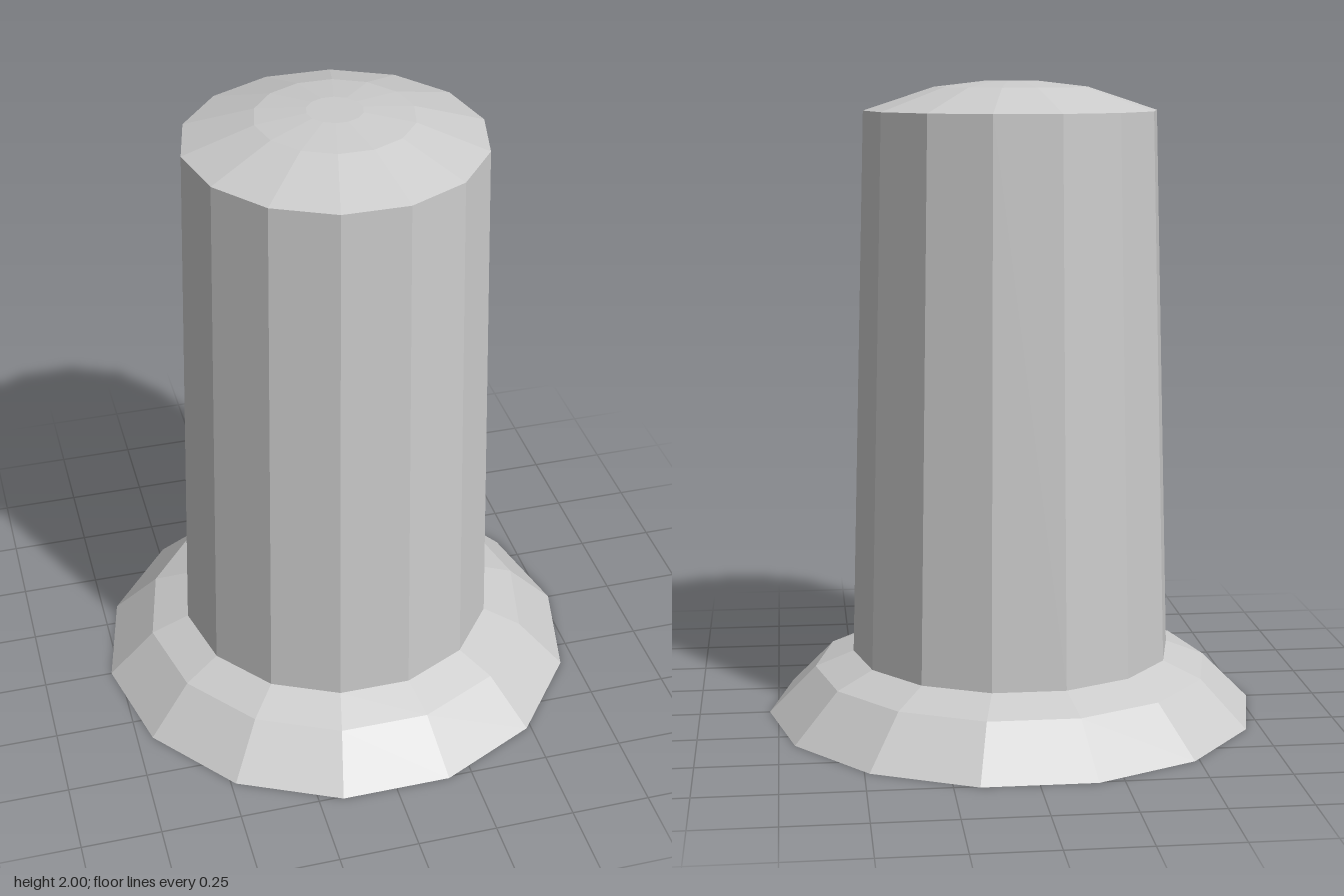
import * as THREE from 'three';

const SIDES = 14;

export function createModel() {
  const group = new THREE.Group();
  const material = new THREE.MeshStandardMaterial({ color: 0xcccccc, flatShading: true });

  // Faceted turned part from [radius, height] pairs, with a corner on the x axis
  const turned = (name, profile) => {
    const points = profile.map(([r, y]) => new THREE.Vector2(r, y));
    const mesh = new THREE.Mesh(new THREE.LatheGeometry(points, SIDES, Math.PI / 2), material);
    mesh.name = name;
    group.add(mesh);
  };

  // Flared foot with a closed underside
  turned('base', [[0, 0], [0.778, 0], [0.63, 0.148], [0.508, 0.196]]);
  // Slightly tapered shaft
  turned('shaft', [[0.508, 0.196], [0.458, 1.91]]);
  // Shallow domed top with a small flat centre
  turned('cap', [[0.458, 1.91], [0.24, 1.982], [0.085, 2], [0, 2]]);

  return group;
}
